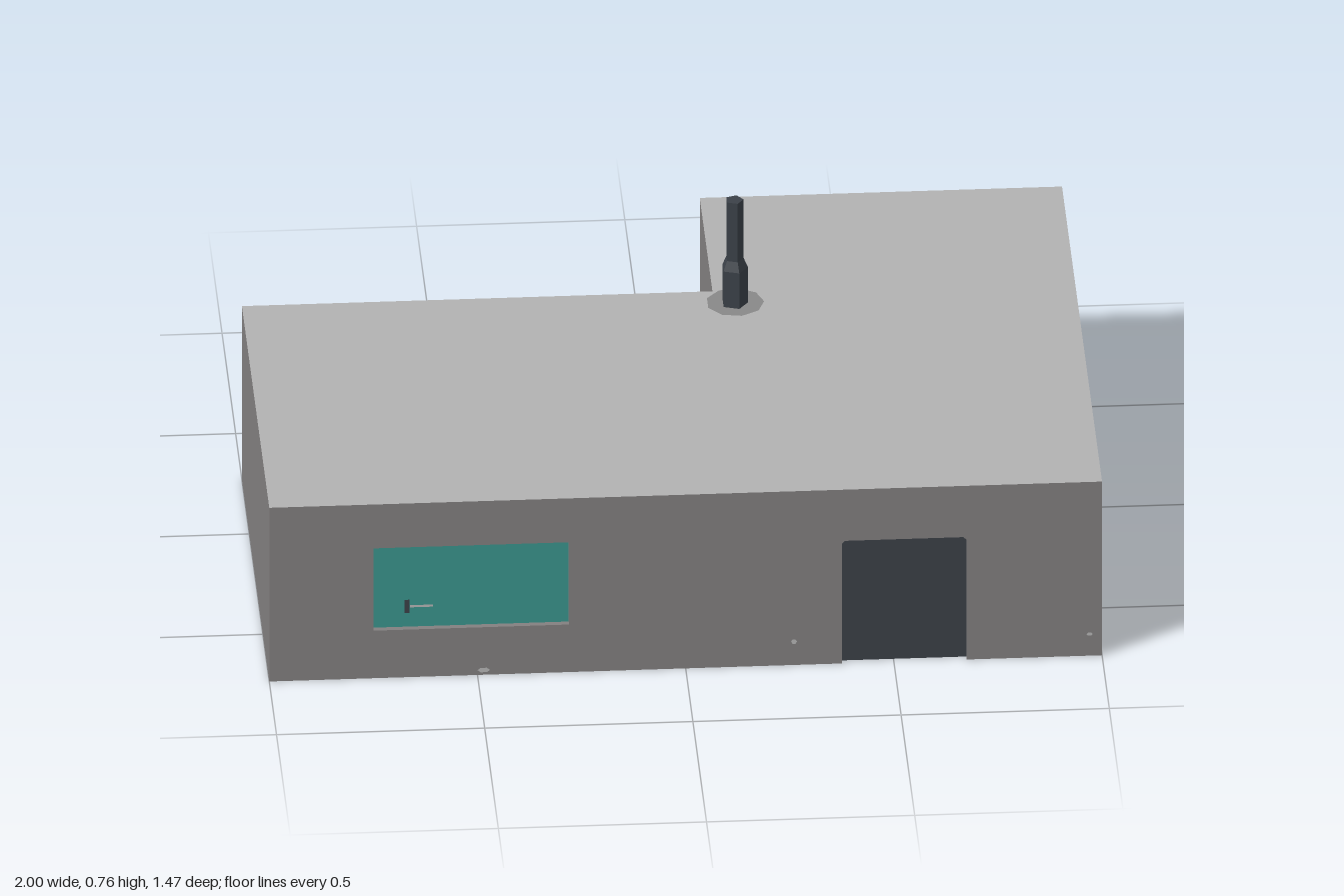
import * as THREE from 'three';

const H = 0.475, FRONT = 0.735, RECESS = 0.015;

export function createModel() {
  const model = new THREE.Group();
  const mat = (name, color, side = THREE.DoubleSide) =>
    new THREE.MeshStandardMaterial({ name, color, side });
  const wallGrey = mat('wallGrey', 0x838080);
  const roofGrey = mat('roofGrey', 0xb2b2b2);
  const glassTeal = mat('glassTeal', 0x3a958d);
  const darkSlate = mat('darkSlate', 0x3b4148);
  const flangeGrey = mat('flangeGrey', 0x888888);
  const chipGrey = mat('chipGrey', 0xb8b8b8);

  const add = (name, geometry, material, x = 0, y = 0, z = 0, ry = 0) => {
    const mesh = new THREE.Mesh(geometry, material);
    mesh.name = name;
    mesh.position.set(x, y, z);
    mesh.rotation.y = ry;
    model.add(mesh);
    return mesh;
  };
  const points = (list) => list.map(([x, y]) => new THREE.Vector2(x, y));

  // Upright panel between two floor points, facing right of travel
  const panel = (name, [x0, z0], [x1, z1], y0, y1, material) => {
    const dx = x1 - x0, dz = z1 - z0;
    add(name, new THREE.PlaneGeometry(Math.hypot(dx, dz), y1 - y0), material,
      (x0 + x1) / 2, (y0 + y1) / 2, (z0 + z1) / 2, Math.atan2(-dz, dx));
  };

  // L-shaped plan, counter-clockwise seen from above, starting at the front
  const plan = [[-1, FRONT], [1, FRONT], [1, -FRONT], [0.13, -FRONT], [0.13, -0.27], [-1, -0.27]];
  for (let i = 1; i < plan.length; i++) {
    panel('wall' + i, plan[i], plan[(i + 1) % plan.length], 0, H, wallGrey);
  }

  // Flat roof
  const roof = new THREE.ShapeGeometry(new THREE.Shape(points(plan.map(([x, z]) => [x, -z]))));
  roof.rotateX(-Math.PI / 2);
  add('roof', roof, roofGrey, 0, H, 0);

  // Outlines of the openings; the door has small bevelled top corners
  const door = [[0.375, 0], [0.675, 0], [0.675, 0.327], [0.667, 0.335], [0.383, 0.335], [0.375, 0.327]];
  const windowOutline = [[-0.75, 0.13], [-0.28, 0.13], [-0.28, 0.355], [-0.75, 0.355]];

  // Front wall, notched for the door and pierced for the window
  const front = new THREE.Shape(points([
    [-1, 0], door[0], door[5], door[4], door[3], door[2], door[1], [1, 0], [1, H], [-1, H]]));
  front.holes.push(new THREE.Path(points(windowOutline)));
  add('frontWall', new THREE.ShapeGeometry(front), wallGrey, 0, 0, FRONT);

  // Recessed panes with their reveals
  const opening = (name, outline, paneMaterial) => {
    add(name, new THREE.ShapeGeometry(new THREE.Shape(points(outline))), paneMaterial, 0, 0, FRONT - RECESS);
    const pos = [];
    outline.forEach(([x0, y0], i) => {
      const [x1, y1] = outline[(i + 1) % outline.length];
      if (y0 === 0 && y1 === 0) return; // open threshold
      const a = [x0, y0, 0], b = [x1, y1, 0], c = [x1, y1, -RECESS], d = [x0, y0, -RECESS];
      pos.push(...a, ...b, ...c, ...a, ...c, ...d);
    });
    const reveal = new THREE.BufferGeometry();
    reveal.setAttribute('position', new THREE.Float32BufferAttribute(pos, 3));
    reveal.computeVertexNormals();
    add(name + 'Reveal', reveal, wallGrey, 0, 0, FRONT);
  };
  opening('door', door, darkSlate);
  opening('window', windowOutline, glassTeal);

  // Five-sided stepped chimney pipe on a flat flange
  const pipe = new THREE.LatheGeometry(points([
    [0.033, 0], [0.033, 0.1], [0.0225, 0.125], [0.0225, 0.285], [0, 0.285]]), 5).toNonIndexed();
  pipe.computeVertexNormals();
  add('chimney', pipe, darkSlate, 0.178, H, -0.204, Math.PI / 2);
  const flange = new THREE.CircleGeometry(0.07, 9);
  flange.rotateX(-Math.PI / 2);
  add('chimneyFlange', flange, flangeGrey, 0.18, H + 0.003, -0.207);

  // Small chips on the walls: x, y, z, width, height, turn
  const chips = [
    [-0.485, 0.014, FRONT + 0.002, 0.03, 0.014, 0],
    [0.26, 0.065, FRONT + 0.002, 0.014, 0.014, 0],
    [0.97, 0.06, FRONT + 0.002, 0.016, 0.01, 0],
    [1.002, 0.08, -0.718, 0.028, 0.034, Math.PI / 2],
    [1.002, 0.01, 0.22, 0.024, 0.01, Math.PI / 2],
    [1.002, 0.063, -0.525, 0.01, 0.01, Math.PI / 2],
  ];
  for (const [x, y, z, w, h, ry] of chips) {
    add('wallChip', new THREE.CircleGeometry(0.5, 6), chipGrey, x, y, z, ry).scale.set(w, h, 1);
  }

  // Tiny latch on the window
  add('windowLatch', new THREE.PlaneGeometry(0.012, 0.036), darkSlate, -0.668, 0.187, FRONT - RECESS + 0.003);
  add('windowLatchBar', new THREE.PlaneGeometry(0.055, 0.006), chipGrey, -0.634, 0.187, FRONT - RECESS + 0.003);

  return model;
}
